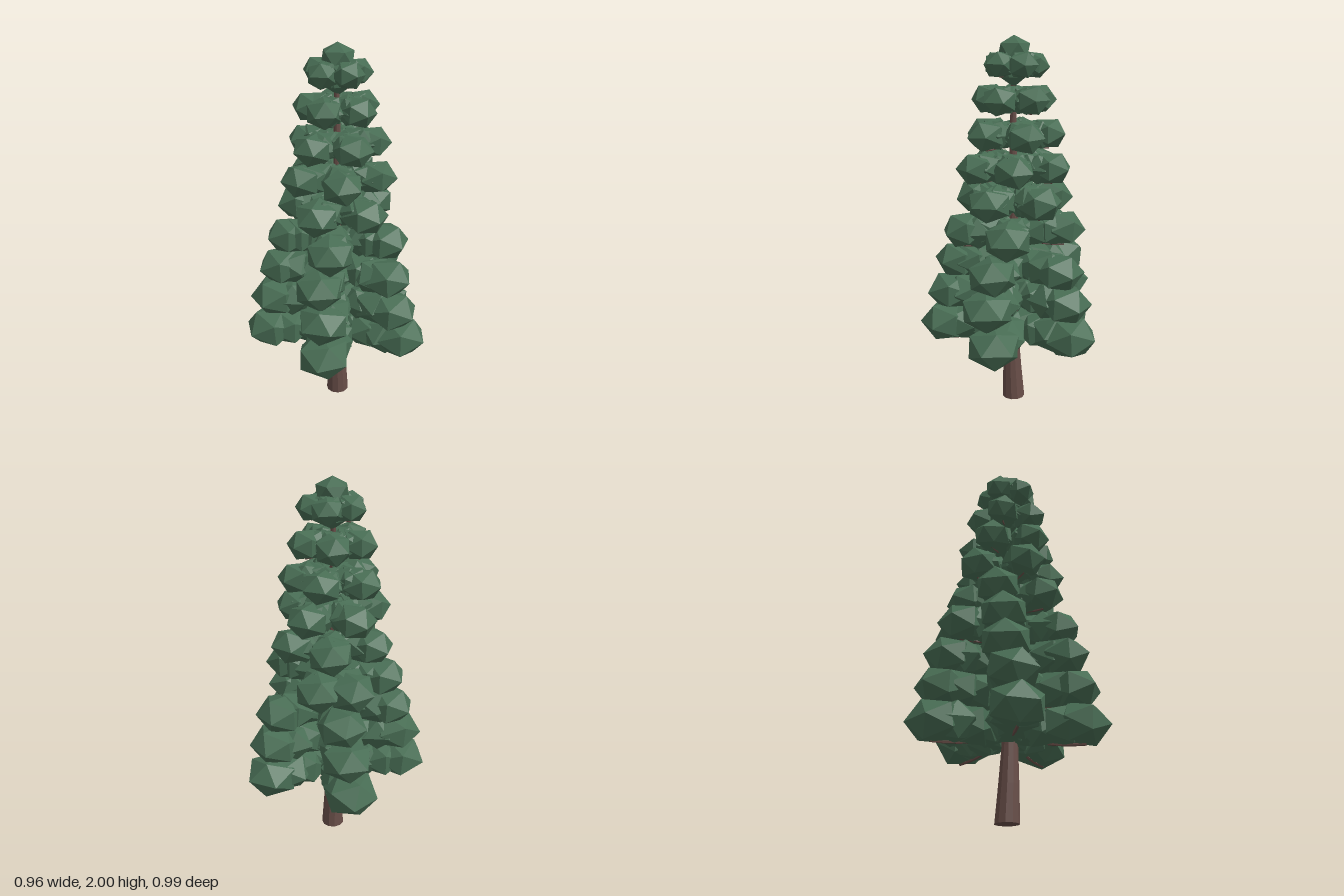
import * as THREE from 'three';

const CX = -0.035; // trunk axis
const EVEN = [0, 72, 144, 216, 288];
// Each tier: height, branch reach, clump radius, clump half height, rotation and branch angles in degrees
const TIERS = [
  [0.46, 0.375, 0.148, 0.116, 0, EVEN],
  [0.64, 0.343, 0.143, 0.109, 3, EVEN],
  [0.81, 0.306, 0.135, 0.106, 4, EVEN],
  [0.985, 0.262, 0.13, 0.104, 0, [-12, 72, 150, 211, 245]],
  [1.16, 0.21, 0.122, 0.097, 16, EVEN],
  [1.33, 0.2, 0.114, 0.091, -20, EVEN],
  [1.5, 0.174, 0.107, 0.085, 32, EVEN],
  [1.68, 0.138, 0.096, 0.081, 14, EVEN],
  [1.855, 0.1, 0.085, 0.072, 30, EVEN],
];
// Clumps along a branch: fraction of the reach, relative size
const CLUMPS = [[1, 1], [0.74, 0.95], [0.48, 0.88], [0.25, 0.72]];

function seeded(seed) {
  return () => {
    seed = (seed * 16807) % 2147483647;
    return seed / 2147483647;
  };
}

export function createModel() {
  const rnd = seeded(4217);
  const jitter = (a) => (rnd() * 2 - 1) * a;
  const material = (name, color) => {
    const m = new THREE.MeshStandardMaterial({ color, flatShading: true });
    m.name = name;
    return m;
  };
  const bark = material('bark brown', 0x674d47);
  const needles = material('pine green', 0x486d54);
  const tree = new THREE.Group();
  tree.name = 'pineTree';

  // Trunk: tapered, flared at the base and gently bent
  const trunkGeo = new THREE.CylinderGeometry(1, 1, 1.85, 11, 10);
  trunkGeo.translate(0, 0.925, 0);
  const p = trunkGeo.attributes.position;
  for (let i = 0; i < p.count; i++) {
    const y = p.getY(i);
    const r = 0.012 + 0.034 * (1 - y / 1.85) + 0.016 * Math.max(0, 1 - y / 0.45);
    const bendX = -0.005 * Math.max(0, 1 - y / 0.4);
    const bendZ = 0.013 * Math.sin(Math.min(y, 1) * Math.PI) + 0.004;
    p.setXYZ(i, CX + bendX + p.getX(i) * r, y, bendZ + p.getZ(i) * r);
  }
  trunkGeo.computeVertexNormals();
  const trunk = new THREE.Mesh(trunkGeo, bark);
  trunk.name = 'trunk';
  tree.add(trunk);

  // Faceted needle clump
  const clumpGeo = new THREE.IcosahedronGeometry(1, 0);
  const addClump = (parent, pos, r, h, turn) => {
    const clump = new THREE.Mesh(clumpGeo, needles);
    clump.name = 'needleClump';
    clump.position.copy(pos);
    clump.scale.set(r, h, r);
    clump.rotation.set(jitter(0.08), turn, jitter(0.08));
    parent.add(clump);
  };

  // Tiers of five drooping branches, each covered in clumps
  TIERS.forEach(([y, reach, r, h, turn, angles], t) => {
    const tier = new THREE.Group();
    tier.name = `tier${t + 1}`;
    for (const angle of angles) {
      const a = THREE.MathUtils.degToRad(turn + angle + jitter(3));
      const at = (d, dy) =>
        new THREE.Vector3(CX + Math.cos(a) * d, y + dy, Math.sin(a) * d);
      const path = new THREE.QuadraticBezierCurve3(
        at(0.01, -h * 0.2), at(reach * 0.5, -h * 0.9), at(reach * 1.05, -h * 0.84));
      const branch = new THREE.Mesh(
        new THREE.TubeGeometry(path, 5, 0.008 - t * 0.0005, 5), bark);
      branch.name = 'branch';
      tier.add(branch);
      CLUMPS.forEach(([f, size], i) => {
        // the tip points a blunt corner outward, the others turn freely
        const spin = i === 0 ? -a + 0.3 + jitter(0.35) : rnd() * Math.PI * 2;
        addClump(tier, at(reach * f, jitter(0.004)), r * size, h * (0.5 + size / 2), spin);
      });
    }
    tree.add(tier);
  });

  // Crown: a cap and a core beneath it, each standing on one corner
  const crownGeo = new THREE.IcosahedronGeometry(1, 0);
  crownGeo.rotateZ(Math.atan(2 / (1 + Math.sqrt(5))));
  [['crownCap', 1.925, 0.092, 0.075], ['crownCore', 1.83, 0.08, 0.088]].forEach(([name, y, r, h]) => {
    const part = new THREE.Mesh(crownGeo, needles);
    part.name = name;
    part.position.set(CX + 0.003, y, 0);
    part.scale.set(r, h, r);
    tree.add(part);
  });

  return tree;
}
